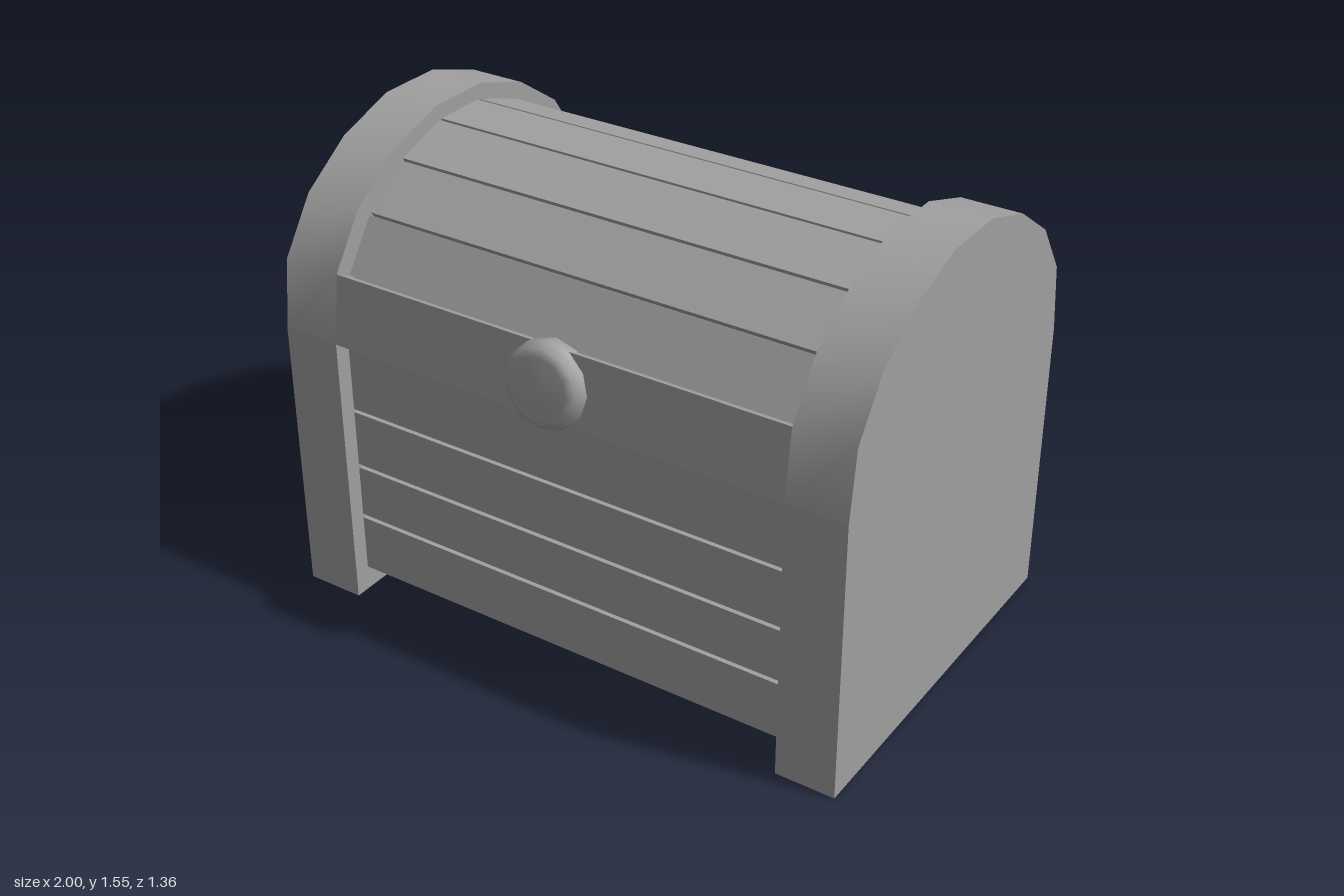
import * as THREE from 'three';
import { toCreasedNormals } from 'three/addons/utils/BufferGeometryUtils.js';

export function createModel() {
  const model = new THREE.Group();
  const grey = new THREE.MeshStandardMaterial({ color: 0xa0a0a0 });
  grey.name = 'plain grey';

  // Chest depth is centred slightly behind the origin to leave room for the lock
  const body = new THREE.Group();
  body.name = 'chestBody';
  body.position.z = -0.025;
  model.add(body);

  // Extrudes a side profile of [z, y] points along x from x0 to x1
  function slab(name, points, x0, x1, smooth = false) {
    const shape = new THREE.Shape(points.map(([z, y]) => new THREE.Vector2(-z, y)));
    let geo = new THREE.ExtrudeGeometry(shape, { depth: x1 - x0, bevelEnabled: false });
    geo.rotateY(Math.PI / 2).translate(x0, 0, 0);
    if (smooth) geo = toCreasedNormals(geo, Math.PI / 4);
    const mesh = new THREE.Mesh(geo, grey);
    mesh.name = name;
    body.add(mesh);
  }
  const mirror = (pts) => [...pts, ...pts.map(([z, y]) => [-z, y]).reverse()];

  // Outer arch of the end frames, and the recessed arch of the lid planks
  const outerArch = mirror([[0.655, 0.95], [0.625, 1.18], [0.505, 1.355], [0.325, 1.48], [0.115, 1.55]]);
  const plankArch = mirror([[0.57, 1.15], [0.455, 1.315], [0.29, 1.435], [0.097, 1.5]]);

  // End frames: straight lower part and rounded lid part
  for (const [side, x0] of [['left', 0.8], ['right', -1]]) {
    slab(side + 'BaseEnd', mirror([[0.655, 0], [0.655, 0.95]]), x0, x0 + 0.2);
    slab(side + 'LidEnd', outerArch, x0, x0 + 0.2, true);
  }

  // Inner core behind the planks
  slab('innerCore', [
    [0.585, 0.095], [0.585, 0.97],
    ...plankArch.map(([z, y]) => [z * 0.97, y - 0.02]),
    [-0.585, 0.97], [-0.585, 0.095],
  ], -0.8, 0.8);

  // Lid planks, one per segment of the arch with a thin gap between
  for (let i = 0; i < plankArch.length - 1; i++) {
    const a = new THREE.Vector2(...plankArch[i]);
    const b = new THREE.Vector2(...plankArch[i + 1]);
    const dir = b.clone().sub(a).normalize();
    const inward = new THREE.Vector2(-dir.y, dir.x).multiplyScalar(0.03);
    if (inward.y > 0) inward.negate();
    a.addScaledVector(dir, 0.005);
    b.addScaledVector(dir, -0.005);
    const corners = [a, b, b.clone().add(inward), a.clone().add(inward)];
    slab('lidPlank', corners.map((p) => [p.x, p.y]), -0.8, 0.8);
  }

  // Front and back wall planks, and the lid's rim bands
  const rows = [[0.085, 0.28], [0.295, 0.473], [0.487, 0.68], [0.692, 0.96]];
  for (const [side, s] of [['front', 1], ['back', -1]]) {
    for (const [y0, y1] of rows) {
      const plank = [[0.57, y0], [0.6, y0], [0.6, y1], [0.57, y1]];
      slab(side + 'Plank', plank.map(([z, y]) => [z * s, y]), -0.8, 0.8);
    }
    const band = [[0.655, 0.95], [0.625, 1.18], [0.57, 1.15], [0.57, 0.955]];
    slab(side + 'LidBand', band.map(([z, y]) => [z * s, y]), -0.8, 0.8);
  }

  // Rounded lock knob, tilted to sit on the front band
  const profile = [[0, -0.07], [0.11, -0.065], [0.135, -0.03], [0.139, 0.015], [0.125, 0.043], [0.1, 0.055], [0, 0.058]]
    .map(([r, h]) => new THREE.Vector2(r, h));
  const lock = new THREE.Mesh(new THREE.LatheGeometry(profile, 12).rotateX(Math.PI / 2), grey);
  lock.name = 'lockKnob';
  lock.position.set(0, 1.06, 0.612);
  lock.rotation.x = -0.11;
  model.add(lock);

  return model;
}
